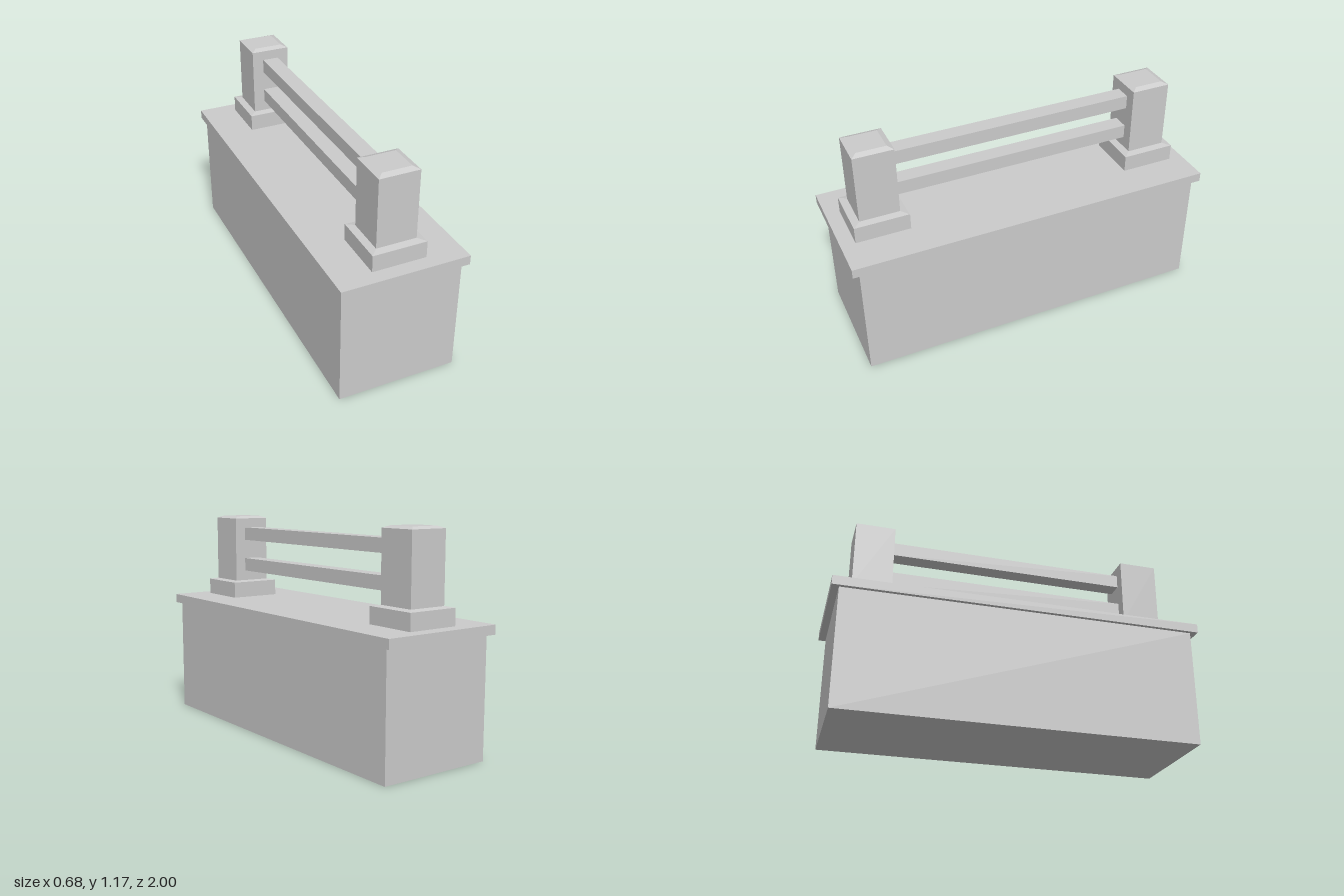
import * as THREE from 'three';

const material = new THREE.MeshStandardMaterial({ color: 0xcccccc, flatShading: true });

// Box given by full width, depth and its bottom and top heights
function block(name, width, depth, y0, y1) {
  const mesh = new THREE.Mesh(new THREE.BoxGeometry(width, y1 - y0, depth), material);
  mesh.name = name;
  mesh.position.y = (y0 + y1) / 2;
  return mesh;
}

// Square frustum given by half widths at bottom and top
function frustum(name, halfBottom, halfTop, y0, y1) {
  const geometry = new THREE.CylinderGeometry(
    halfTop * Math.SQRT2, halfBottom * Math.SQRT2, y1 - y0, 4, 1);
  geometry.rotateY(Math.PI / 4);
  const mesh = new THREE.Mesh(geometry, material);
  mesh.name = name;
  mesh.position.y = (y0 + y1) / 2;
  return mesh;
}

// Post on a plinth, both with shallow chamfered tops
function createPost(name, z) {
  const post = new THREE.Group();
  post.name = name;
  post.add(
    block('plinth', 0.29, 0.294, 0.695, 0.785),
    frustum('plinthChamfer', 0.145, 0.108, 0.785, 0.792),
    block('shaft', 0.215, 0.215, 0.785, 1.163),
    frustum('shaftCap', 0.1075, 0.078, 1.163, 1.175)
  );
  post.position.z = z;
  return post;
}

export function createModel() {
  const model = new THREE.Group();
  model.name = 'wallWithRailing';

  // Wall and overhanging coping
  model.add(block('wall', 0.644, 1.924, 0, 0.645));
  model.add(block('coping', 0.684, 2, 0.645, 0.695));

  // Posts at both ends
  model.add(createPost('frontPost', 0.775), createPost('backPost', -0.775));

  // Two rails between the posts
  model.add(block('lowerRail', 0.09, 1.36, 0.85, 0.925));
  model.add(block('upperRail', 0.09, 1.36, 1.035, 1.11));

  return model;
}
